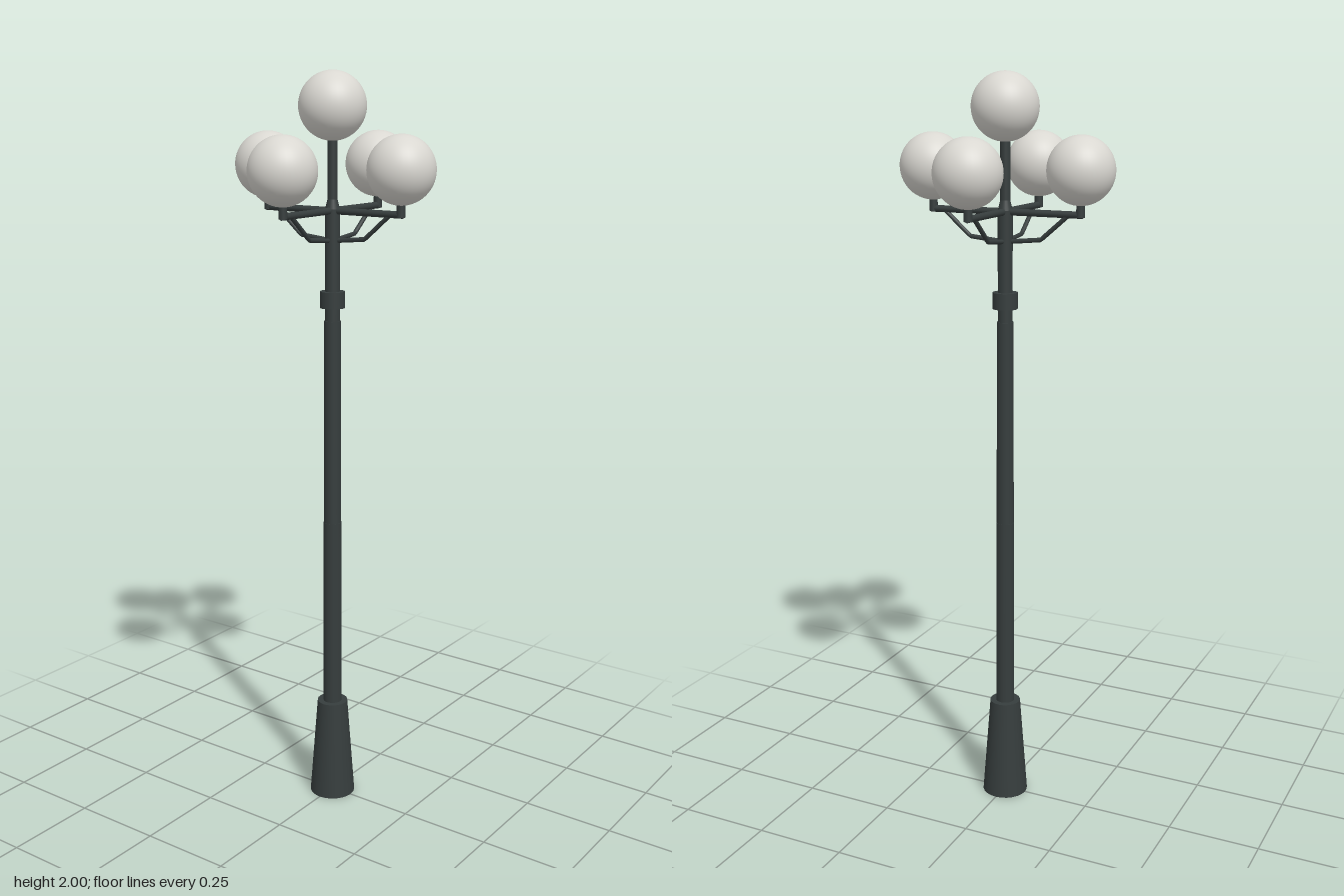
import * as THREE from 'three';

export function createModel() {
  const model = new THREE.Group();
  const iron = new THREE.MeshStandardMaterial({ color: 0x363d3d });
  iron.name = 'dark iron';
  const glass = new THREE.MeshStandardMaterial({ color: 0xd9d7d1 });
  glass.name = 'frosted glass';

  const add = (parent, name, geometry, material, x = 0, y = 0, z = 0) => {
    const mesh = new THREE.Mesh(geometry, material);
    mesh.name = name;
    mesh.position.set(x, y, z);
    parent.add(mesh);
    return mesh;
  };
  // Upright round section between two heights
  const column = (parent, name, y0, y1, r0, r1 = r0, x = 0) =>
    add(parent, name, new THREE.CylinderGeometry(r1, r0, y1 - y0, 24), iron, x, (y0 + y1) / 2);

  // Post, from the ground up
  column(model, 'taperedBase', 0, 0.28, 0.063, 0.042);
  column(model, 'lowerPole', 0.28, 0.81, 0.0255, 0.0245);
  column(model, 'middlePole', 0.81, 1.365, 0.0235, 0.022);
  column(model, 'upperPole', 1.365, 1.655, 0.0195);
  column(model, 'collar', 1.4, 1.443, 0.033);
  column(model, 'poleCap', 1.655, 1.68, 0.0195, 0.013);
  column(model, 'topStem', 1.68, 1.84, 0.013);

  const globe = new THREE.SphereGeometry(0.087, 40, 28);
  add(model, 'topGlobe', globe, glass, 0, 1.913, 0);

  // Bent brace under each arm, as straight runs
  const brace = new THREE.CurvePath();
  const points = [[0, 1.574], [0.1, 1.584], [0.175, 1.648]].map(([x, y]) => new THREE.Vector3(x, y, 0));
  for (let i = 0; i < 2; i++) brace.add(new THREE.LineCurve3(points[i], points[i + 1]));
  const braceGeometry = new THREE.TubeGeometry(brace, 24, 0.006, 8, false);

  // Four identical arms, each carrying a globe
  for (let i = 0; i < 4; i++) {
    const arm = new THREE.Group();
    arm.name = 'lampArm' + (i + 1);
    arm.rotation.y = i * Math.PI / 2;
    add(arm, 'crossbar', new THREE.CylinderGeometry(0.009, 0.009, 0.215, 16), iron, 0.1075, 1.651)
      .rotation.z = Math.PI / 2;
    add(arm, 'brace', braceGeometry, iron);
    column(arm, 'globeHolder', 1.645, 1.69, 0.011, 0.011, 0.209);
    add(arm, 'globe', globe, glass, 0.209, 1.761, 0);
    model.add(arm);
  }
  return model;
}
